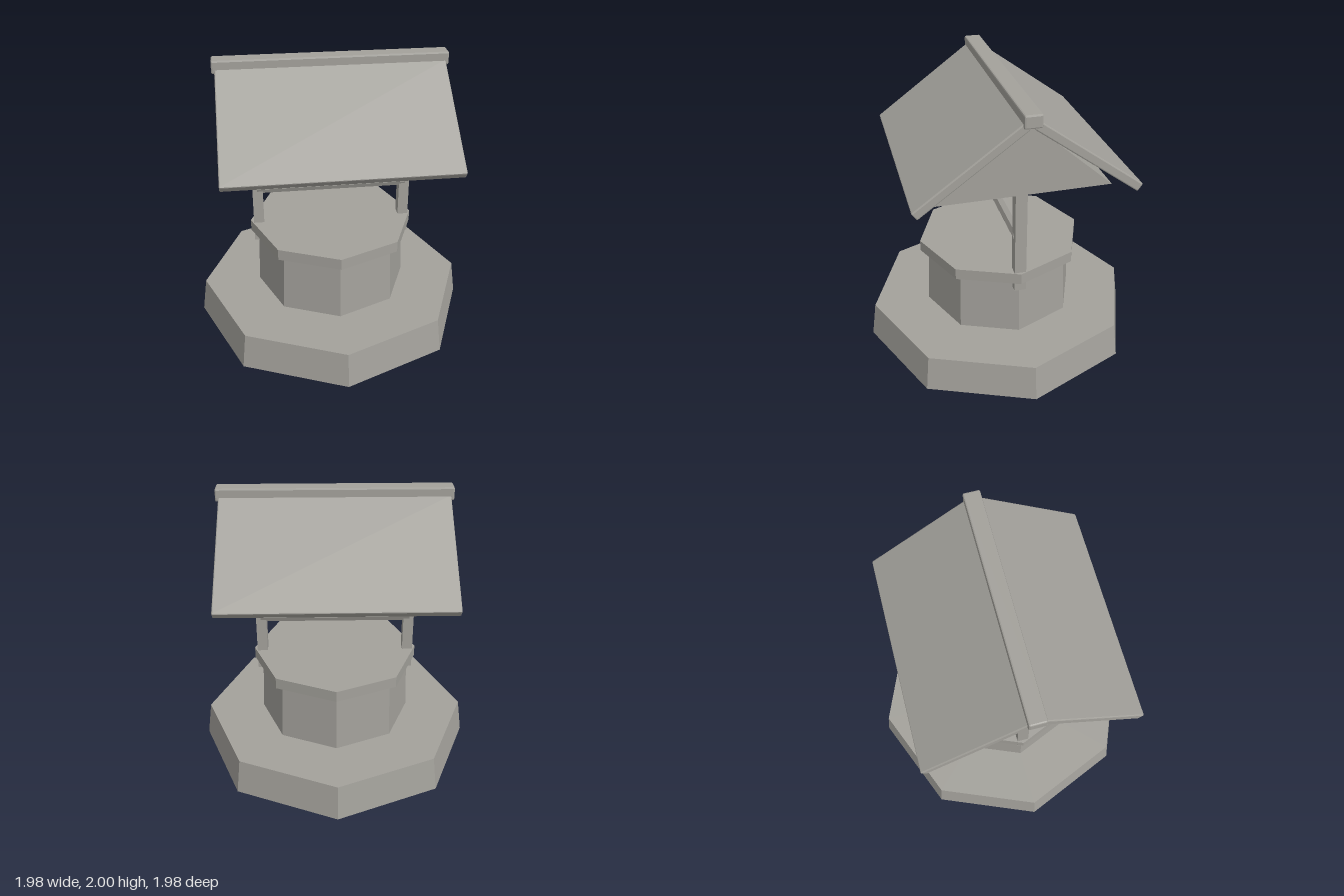
import * as THREE from 'three';
import { RoundedBoxGeometry } from 'three/addons/geometries/RoundedBoxGeometry.js';

export function createModel() {
  const model = new THREE.Group();
  model.name = 'well';
  const stone = new THREE.MeshStandardMaterial({ color: 0xa3a19b, flatShading: true });
  stone.name = 'warm grey';

  const add = (name, geometry, x = 0, y = 0, z = 0) => {
    const mesh = new THREE.Mesh(geometry, stone);
    mesh.name = name;
    mesh.position.set(x, y, z);
    model.add(mesh);
    return mesh;
  };

  // Octagonal tiers, with corners on the x and z axes
  const tier = (name, rTop, rBottom, y0, y1) =>
    add(name, new THREE.CylinderGeometry(rTop, rBottom, y1 - y0, 8), 0, (y0 + y1) / 2);
  tier('base', 0.955, 0.99, 0, 0.25);
  tier('wall', 0.53, 0.548, 0.25, 0.69);
  tier('rim', 0.59, 0.59, 0.68, 0.76);

  // Posts, running past the rim and up into the roof
  for (const side of [-1, 1]) {
    const name = side > 0 ? 'leftPost' : 'rightPost';
    add(name, new THREE.BoxGeometry(0.074, 0.84, 0.08), side * 0.53, 1.035, 0);
  }

  // Winding axle between the posts
  const axle = add('axle', new THREE.CylinderGeometry(0.048, 0.048, 1.07, 8), 0, 1.035, 0);
  axle.rotation.z = Math.PI / 2;

  // Closed triangular body beneath the roof panels
  const gable = new THREE.Shape([
    new THREE.Vector2(-0.585, 1.395),
    new THREE.Vector2(0.585, 1.395),
    new THREE.Vector2(0, 1.905),
  ]);
  const body = new THREE.ExtrudeGeometry(gable, { depth: 1.26, bevelEnabled: false });
  body.translate(0, 0, -0.63).rotateY(Math.PI / 2);
  add('gableBody', body);

  // Sloping roof panels: underside runs from the eave to the ridge
  const eave = { z: 0.703, y: 1.395 };
  const ridge = { z: 0.01, y: 1.9 };
  const thickness = 0.06;
  const slope = Math.atan2(ridge.y - eave.y, eave.z - ridge.z);
  const length = Math.hypot(ridge.y - eave.y, eave.z - ridge.z);
  for (const side of [-1, 1]) {
    const panel = add(
      side > 0 ? 'frontRoofPanel' : 'backRoofPanel',
      new RoundedBoxGeometry(1.535, thickness, length, 1, 0.008),
      0,
      (eave.y + ridge.y) / 2 + (Math.cos(slope) * thickness) / 2,
      side * ((eave.z + ridge.z) / 2 + (Math.sin(slope) * thickness) / 2)
    );
    panel.rotation.x = side * slope;
  }

  // Ridge cap
  add('ridgeCap', new RoundedBoxGeometry(1.575, 0.088, 0.115, 1, 0.01), 0, 1.956, 0);

  return model;
}
